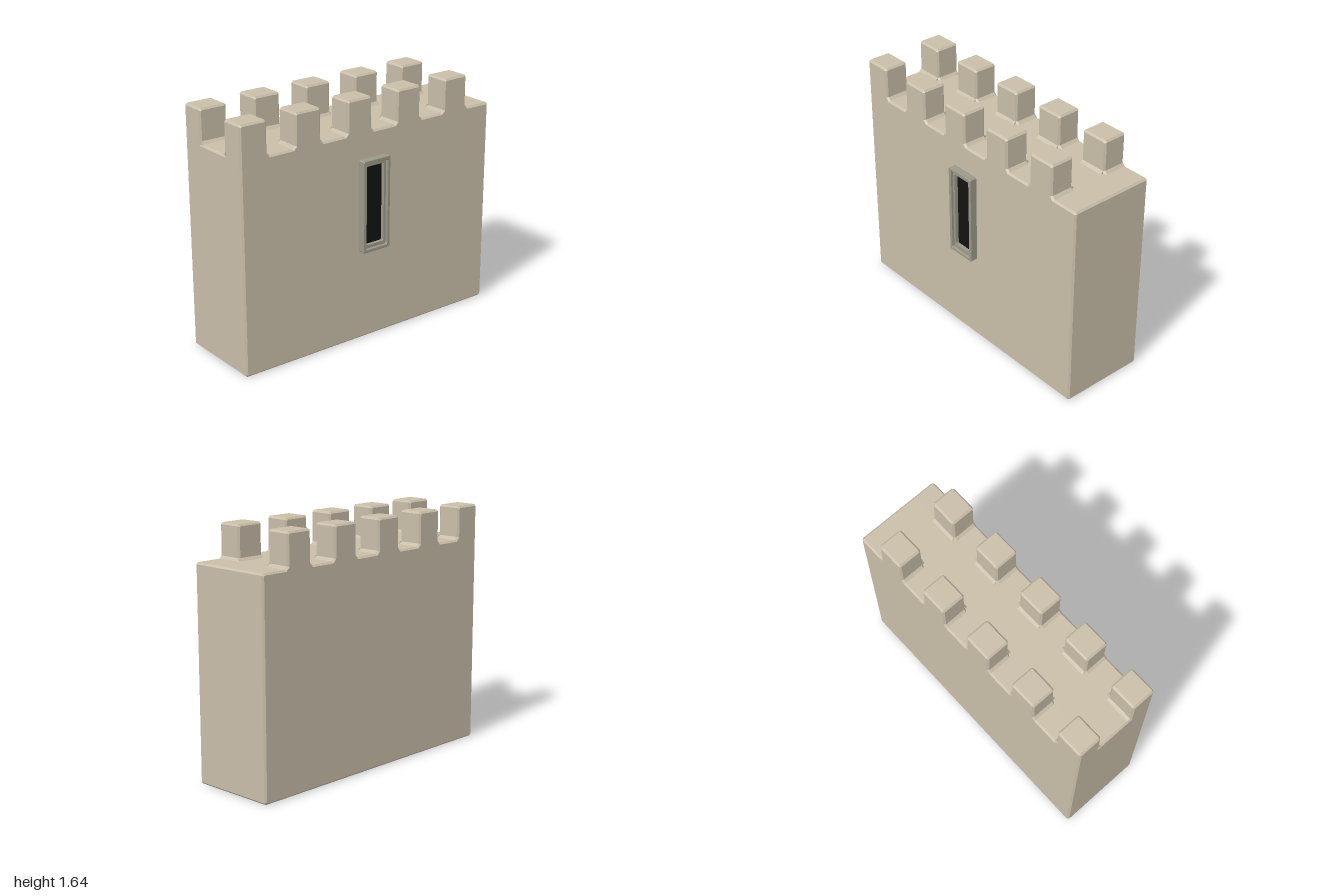
import * as THREE from 'three';

const HALF = 1, LOW = 1.42, HIGH = 1.645, C = 0.012, FILLET = 0.018;
const X0 = -0.325, X1 = 0.275, THICK = 0.17;

const stone = new THREE.MeshStandardMaterial({ color: 0xc8bda8 });
const trim = new THREE.MeshStandardMaterial({ color: 0x9b9889 });
const dark = new THREE.MeshStandardMaterial({ color: 0x111311 });

// Extrude a (-z, y) shape along +x from x to x + width, with optional chamfered rims.
function extrudeX(name, shape, x, width, bevel, material) {
  const geo = new THREE.ExtrudeGeometry(shape, {
    depth: width - 2 * bevel, bevelEnabled: bevel > 0, bevelSize: bevel,
    bevelThickness: bevel, bevelOffset: -bevel, bevelSegments: 1, curveSegments: 3,
  });
  geo.translate(0, 0, bevel).rotateY(Math.PI / 2).translate(x, 0, 0);
  const mesh = new THREE.Mesh(geo, material);
  mesh.name = name;
  return mesh;
}

const polygon = (pts) => new THREE.Shape(pts.map(([a, b]) => new THREE.Vector2(a, b)));

// Rectangle with cut corners
function cutRect(hw, y0, y1, c) {
  return polygon([[-hw + c, y0], [hw - c, y0], [hw, y0 + c], [hw, y1 - c],
    [hw - c, y1], [-hw + c, y1], [-hw, y1 - c], [-hw, y0 + c]]);
}

// Start positions of the merlons along the wall, front to back
const merlonStarts = [-1, -0.6, -0.2, 0.2, 0.6];
const MERLON = 0.195;

// Crenellated outline, traced along the top from front to back
function parapetShape() {
  const top = [];
  merlonStarts.forEach((s, i) => {
    const e = s + MERLON;
    if (i > 0) top.push([s - FILLET, LOW], [s, LOW + FILLET]);
    top.push([s, HIGH - C], [s + C, HIGH], [e - C, HIGH], [e, HIGH - C],
      [e, LOW + FILLET], [e + FILLET, LOW]);
  });
  top.push([HALF - C, LOW], [HALF, LOW - C]);
  const base = [[HALF, C], [HALF - C, 0], [-HALF + C, 0], [-HALF, C]];
  return polygon([...top, ...base].reverse());
}

// Ring of the window surround
function ring(name, outer, inner, depth, bevel) {
  const shape = cutRect(...outer, 0.008);
  shape.holes.push(cutRect(...inner, 0.006));
  return extrudeX(name, shape, X1 - 0.005, depth + 0.005, bevel, trim);
}

export function createModel() {
  const model = new THREE.Group();
  model.name = 'castleWall';

  // Two crenellated wall faces with the walkway core between them
  model.add(extrudeX('rightParapet', parapetShape(), X0, THICK, C, stone));
  model.add(extrudeX('leftParapet', parapetShape(), X1 - THICK, THICK, C, stone));
  const in0 = X0 + THICK, in1 = X1 - THICK;
  model.add(extrudeX('wallCore', cutRect(HALF, 0, LOW, C), in0 - C, in1 - in0 + 2 * C, 0, stone));

  // Small sloped fillets where the merlons meet the walkway
  const fillets = new THREE.Group();
  fillets.name = 'merlonFillets';
  for (const s of merlonStarts) {
    for (const [x, dir] of [[in0, 1], [in1, -1]]) {
      const pts = [[x, LOW - 0.005], [x + dir * FILLET, LOW - 0.005], [x + dir * FILLET, LOW], [x, LOW + FILLET]];
      const geo = new THREE.ExtrudeGeometry(polygon(pts), { depth: MERLON - C, bevelEnabled: false });
      geo.translate(0, 0, -s - MERLON + C / 2);
      const mesh = new THREE.Mesh(geo, stone);
      mesh.name = 'merlonFillet';
      fillets.add(mesh);
    }
  }
  model.add(fillets);

  // Arrow-slit window: stepped surround with a dark recessed pane
  const slit = new THREE.Group();
  slit.name = 'window';
  slit.add(ring('outerFrame', [0.108, 0.62, 1.245], [0.086, 0.642, 1.223], 0.05, 0.003));
  slit.add(ring('innerFrame', [0.088, 0.64, 1.225], [0.07, 0.665, 1.2], 0.032, 0));
  slit.add(extrudeX('pane', cutRect(0.075, 0.66, 1.205, 0.005), X1 - 0.005, 0.012, 0, dark));
  model.add(slit);

  return model;
}
